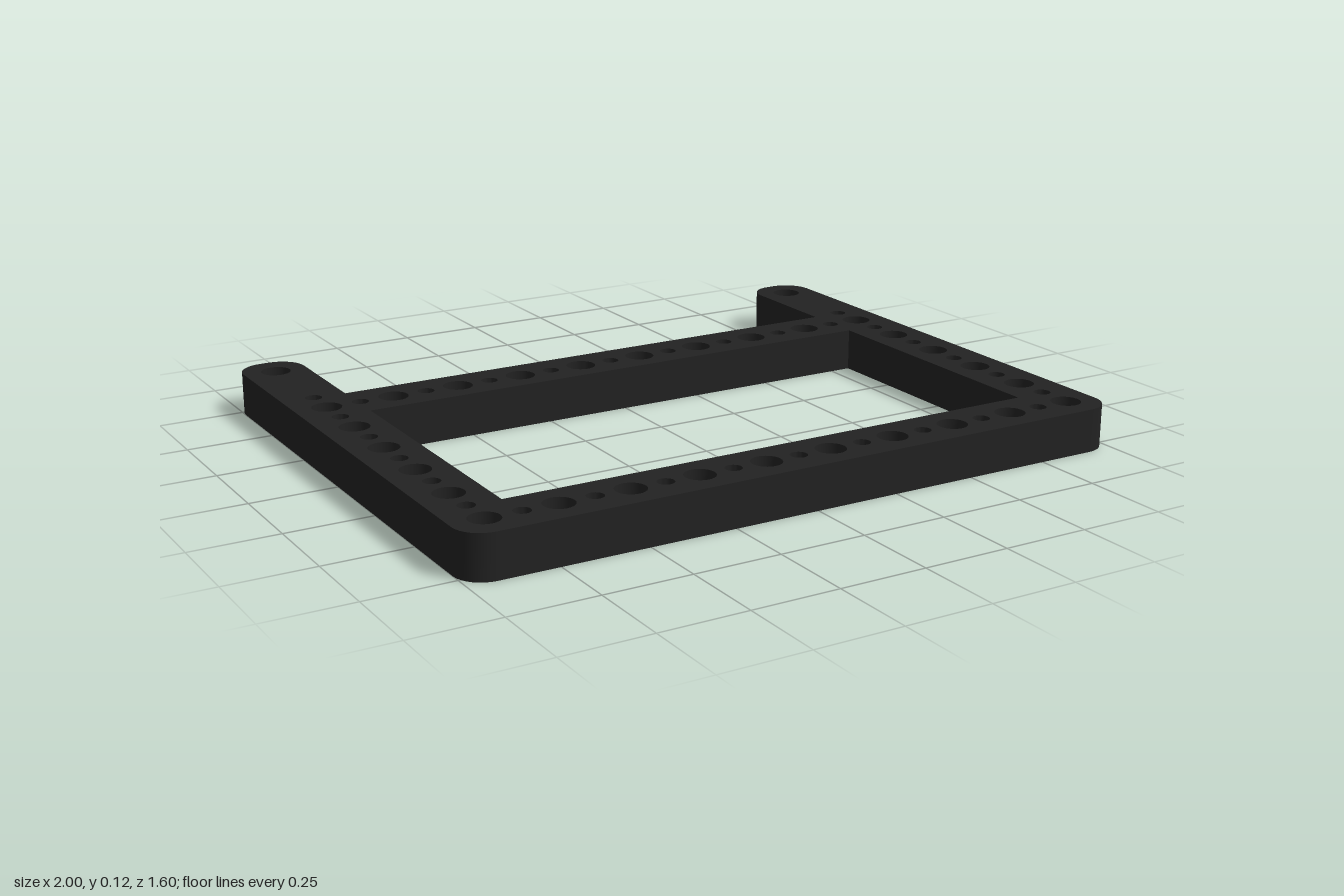
import * as THREE from 'three';
import { mergeGeometries, toCreasedNormals } from 'three/addons/utils/BufferGeometryUtils.js';

// Plan coordinates are (x, -z), so counter-clockwise in plan is counter-clockwise from above.
const HEIGHT = 0.125, LEDGE = 0.055, PITCH = 0.2013;
const BIG = 0.043, SMALL = 0.024, NUT = 0.08, CORNER = 0.08;
const IN_X = 0.813, BACK = 0.8, BAR_BACK = 0.396, BAR_FRONT = 0.21, FRONT_IN = -0.61;

// Clockwise ring of points, used for every hole
function ring(x, y, r, n) {
  return Array.from({ length: n }, (_, i) => {
    const a = Math.PI / 2 - (i / n) * Math.PI * 2;
    return new THREE.Vector2(x + r * Math.cos(a), y + r * Math.sin(a));
  });
}

// Vertical wall along a closed loop of plan points
function wall(points, y0, y1) {
  const pos = [];
  points.forEach((a, i) => {
    const b = points[(i + 1) % points.length];
    pos.push(a.x, y0, -a.y, b.x, y0, -b.y, b.x, y1, -b.y);
    pos.push(a.x, y0, -a.y, b.x, y1, -b.y, a.x, y1, -a.y);
  });
  const g = new THREE.BufferGeometry();
  g.setAttribute('position', new THREE.Float32BufferAttribute(pos, 3));
  g.computeVertexNormals();
  return toCreasedNormals(g, 0.6);
}

// Flat face at height y, with holes, facing up or down
function face(outline, holes, y, down) {
  const shape = new THREE.Shape(outline);
  shape.holes = holes.map((h) => new THREE.Path(h));
  const g = new THREE.ShapeGeometry(shape);
  if (down) g.index.array.reverse();
  g.rotateX(-Math.PI / 2).translate(0, y, 0);
  g.computeVertexNormals();
  return g;
}

// Outer edge: front bar, two arms reaching back, and the rear crossbar set in between them
function outerEdge() {
  const p = [];
  const round = (x, y, start) => {
    for (let i = 0; i <= 8; i++) {
      const a = start + (i / 8) * Math.PI / 2;
      p.push(new THREE.Vector2(x + CORNER * Math.cos(a), y + CORNER * Math.sin(a)));
    }
  };
  const o = 1 - CORNER, i = IN_X + CORNER, b = BACK - CORNER;
  round(o, -b, -Math.PI / 2);
  round(o, b, 0);
  round(i, b, Math.PI / 2);
  p.push(new THREE.Vector2(IN_X, BAR_BACK), new THREE.Vector2(-IN_X, BAR_BACK));
  round(-i, b, 0);
  round(-o, b, Math.PI / 2);
  round(-o, -b, Math.PI);
  return p;
}

export function createModel() {
  const group = new THREE.Group();
  group.name = 'perforatedFrame';
  const black = new THREE.MeshStandardMaterial({ color: 0x222222 });
  black.name = 'matte black';
  const add = (name, geometry) => {
    const mesh = new THREE.Mesh(geometry, black);
    mesh.name = name;
    group.add(mesh);
  };

  // Hole layout: alternating large and small holes, nut seats at bar ends and arm tips
  const through = [], seats = [];
  for (const row of [1.5, -3.5]) {
    for (let k = -8; k <= 8; k++) {
      through.push(ring(k * PITCH / 2, row * PITCH, k % 2 ? BIG : SMALL, 24));
    }
  }
  for (const side of [-4.5, 4.5]) {
    for (let k = -6; k <= 4; k++) {
      if (k === 3) continue;
      through.push(ring(side * PITCH, k * PITCH / 2, k % 2 ? BIG : SMALL, 24));
    }
    for (const row of [3.5, 1.5, -3.5]) {
      seats.push({
        hole: ring(side * PITCH, row * PITCH, BIG, 24),
        hex: ring(side * PITCH, row * PITCH, NUT, 6),
      });
    }
  }

  // Rectangular opening, clockwise
  const opening = [
    [-IN_X, FRONT_IN], [-IN_X, BAR_FRONT], [IN_X, BAR_FRONT], [IN_X, FRONT_IN],
  ].map(([x, y]) => new THREE.Vector2(x, y));

  const edge = outerEdge();
  const holes = seats.map((s) => s.hole), hexes = seats.map((s) => s.hex);

  add('topFace', face(edge, [opening, ...through, ...holes], HEIGHT, false));
  add('bottomFace', face(edge, [opening, ...through, ...hexes], 0, true));
  add('outerWall', wall(edge, 0, HEIGHT));
  add('openingWall', wall(opening, 0, HEIGHT));
  add('throughHoles', mergeGeometries(through.map((h) => wall(h, 0, HEIGHT))));

  // Hexagonal nut recesses in the underside
  add('boltHoles', mergeGeometries(holes.map((h) => wall(h, LEDGE, HEIGHT))));
  add('nutRecessWalls', mergeGeometries(hexes.map((h) => wall(h, 0, LEDGE))));
  add('nutRecessLedges', mergeGeometries(
    seats.map((s) => face([...s.hex].reverse(), [s.hole], LEDGE, true))));
  return group;
}
